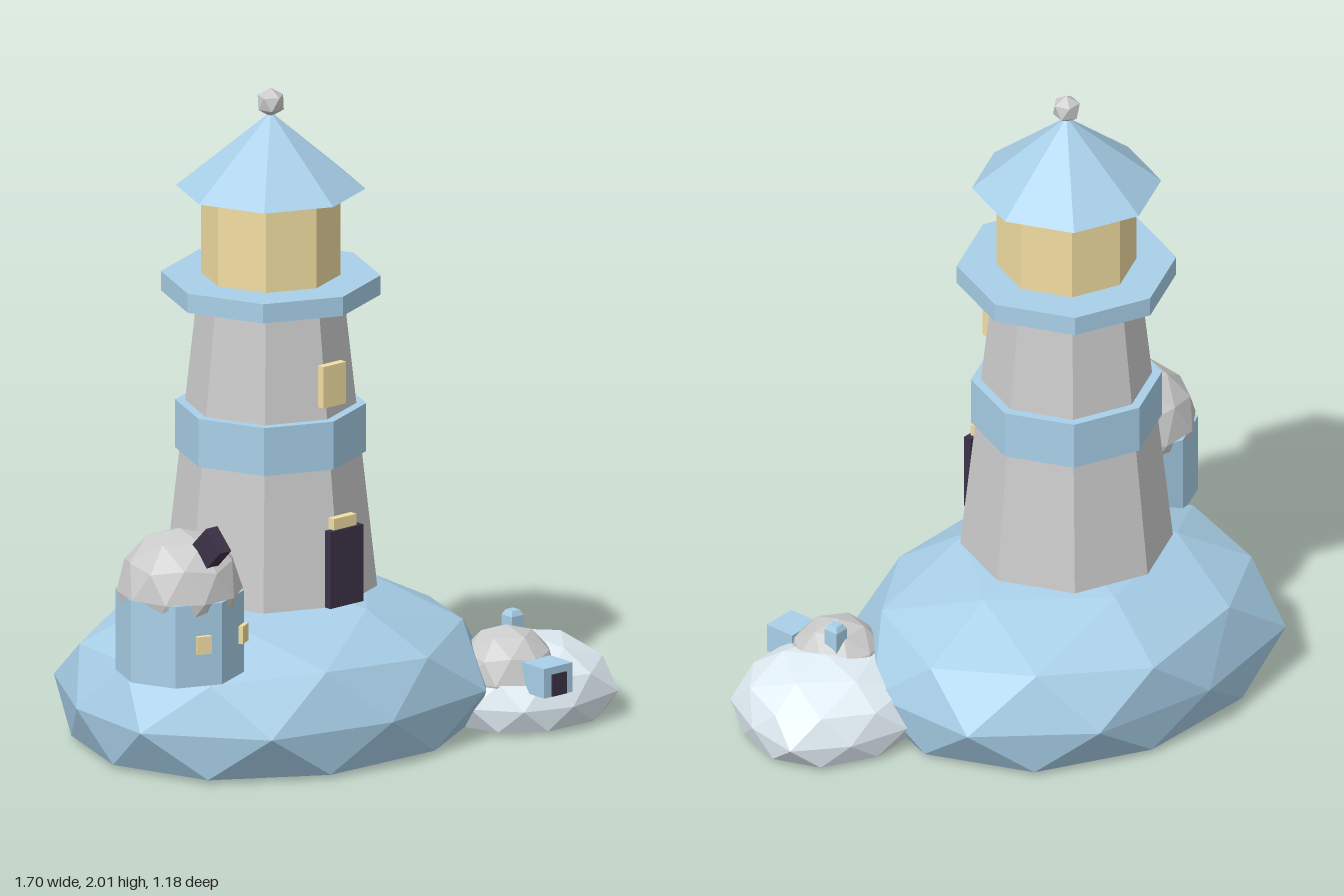
import * as THREE from 'three';
import { ConvexGeometry } from 'three/addons/geometries/ConvexGeometry.js';

const mat = (color) => new THREE.MeshStandardMaterial({ color, flatShading: true });
const grey = mat(0xcccccc);
const blue = mat(0xa8cfe8);
const snow = mat(0xe2eef6);
const gold = mat(0xf2dea2);
const dark = mat(0x3c3248);

function add(parent, name, geometry, material, x = 0, y = 0, z = 0) {
  const mesh = new THREE.Mesh(geometry, material);
  mesh.name = name;
  mesh.position.set(x, y, z);
  parent.add(mesh);
  return mesh;
}

const box = (w, h, d) => new THREE.BoxGeometry(w, h, d);

// Eight-sided section between two heights
function octagon(parent, name, material, rTop, rBottom, y0, y1) {
  return add(parent, name, new THREE.CylinderGeometry(rTop, rBottom, y1 - y0, 8), material, 0, (y0 + y1) / 2, 0);
}

// Faceted ball with a corner pointing up
function ball(r, detail) {
  return new THREE.IcosahedronGeometry(r, detail).rotateX(-Math.atan((1 + Math.sqrt(5)) / 2));
}

// Faceted mound: rim outline [x, z], narrower base, and rings shrinking to the top
function mound(rim, cx, cz, rimY, height, extra = []) {
  const n = rim.length;
  const pts = [new THREE.Vector3(cx, rimY + height, cz), ...extra.map((p) => new THREE.Vector3(...p))];
  for (let i = 0; i < n; i++) {
    const [x, z] = rim[i];
    const [x2, z2] = rim[(i + 1) % n];
    const mx = (x + x2) / 2 - cx, mz = (z + z2) / 2 - cz;
    pts.push(new THREE.Vector3(x, rimY, z));
    pts.push(new THREE.Vector3(cx + mx * 0.97, 0, cz + mz * 0.97));
    const odd = i % 2;
    const s = odd ? 0.9 : 0.93;
    pts.push(new THREE.Vector3(cx + mx * s, rimY + height * (odd ? 0.53 : 0.46), cz + mz * s));
    if (!odd) pts.push(new THREE.Vector3(cx + mx * 0.56, rimY + height * 0.85, cz + mz * 0.56));
  }
  return new ConvexGeometry(pts);
}

export function createModel() {
  const model = new THREE.Group();
  model.name = 'lighthouseIsland';

  // Rocks
  const mainRim = [
    [0.53, 0.15], [0.53, -0.22], [0.256, -0.508], [-0.15, -0.595], [-0.577, -0.53],
    [-0.77, -0.205], [-0.8, 0.12], [-0.55, 0.435], [-0.15, 0.527], [0.28, 0.46],
  ];
  add(model, 'mainRock', mound(mainRim, -0.14, -0.03, 0.14, 0.32, [[0.05, 0.29, -0.545]]), blue);
  const sideRim = [
    [0.82, 0.38], [0.85, 0.205], [0.71, 0.085], [0.52, 0.025], [0.37, 0.1],
    [0.28, 0.24], [0.27, 0.4], [0.37, 0.53], [0.52, 0.582], [0.735, 0.54],
  ];
  add(model, 'sideRock', mound(sideRim, 0.56, 0.31, 0.07, 0.165), snow);

  // Lighthouse
  const tower = new THREE.Group();
  tower.name = 'lighthouse';
  tower.position.set(-0.15, 0, -0.03);
  model.add(tower);
  octagon(tower, 'towerWall', grey, 0.22, 0.32, 0.45, 1.36);
  octagon(tower, 'towerBand', blue, 0.287, 0.287, 0.87, 1.02);
  octagon(tower, 'gallery', blue, 0.33, 0.33, 1.36, 1.42);
  octagon(tower, 'lampRoom', gold, 0.21, 0.21, 1.42, 1.69);
  add(tower, 'roof', new THREE.ConeGeometry(0.285, 0.235, 8), blue, 0, 1.8075, 0);
  add(tower, 'finial', ball(0.045, 0), grey, 0, 1.955, 0);
  add(tower, 'door', box(0.132, 0.24, 0.025), dark, 0, 0.58, 0.335);
  add(tower, 'doorLight', box(0.09, 0.12, 0.025), gold, 0, 0.675, 0.327);
  add(tower, 'towerWindow', box(0.09, 0.13, 0.025), gold, 0, 1.135, 0.28);

  // Observatory hut
  const hut = new THREE.Group();
  hut.name = 'observatory';
  hut.position.set(-0.66, 0, 0.14);
  model.add(hut);
  octagon(hut, 'observatoryWall', blue, 0.193, 0.193, 0.315, 0.57);
  add(hut, 'observatoryDome', ball(0.19, 1), grey, 0, 0.57, 0);
  const telescope = add(hut, 'telescope', box(0.045, 0.09, 0.13), dark, 0, 0.717, 0.132);
  telescope.rotation.x = -Math.PI / 4;
  for (const [x, z, angle] of [[-0.068, 0.188, -0.36], [0.103, 0.173, 0.5]]) {
    add(hut, 'observatoryWindow', box(0.046, 0.055, 0.014), gold, x, 0.45, z).rotation.y = angle;
  }

  // Igloo
  const igloo = new THREE.Group();
  igloo.name = 'igloo';
  igloo.position.set(0.45, 0, 0.36);
  model.add(igloo);
  add(igloo, 'iglooDome', ball(0.152, 1), grey, 0, 0.14, 0);
  add(igloo, 'iglooPorch', box(0.112, 0.092, 0.1), blue, 0.007, 0.166, 0.175);
  add(igloo, 'iglooDoor', box(0.056, 0.068, 0.02), dark, 0.009, 0.155, 0.22);
  add(igloo, 'chimney', box(0.047, 0.08, 0.047), blue, 0.061, 0.262, -0.045);
  const cap = new THREE.CylinderGeometry(0.021, 0.033, 0.016, 4).rotateY(Math.PI / 4);
  add(igloo, 'chimneyCap', cap, blue, 0.061, 0.31, -0.045);

  return model;
}
